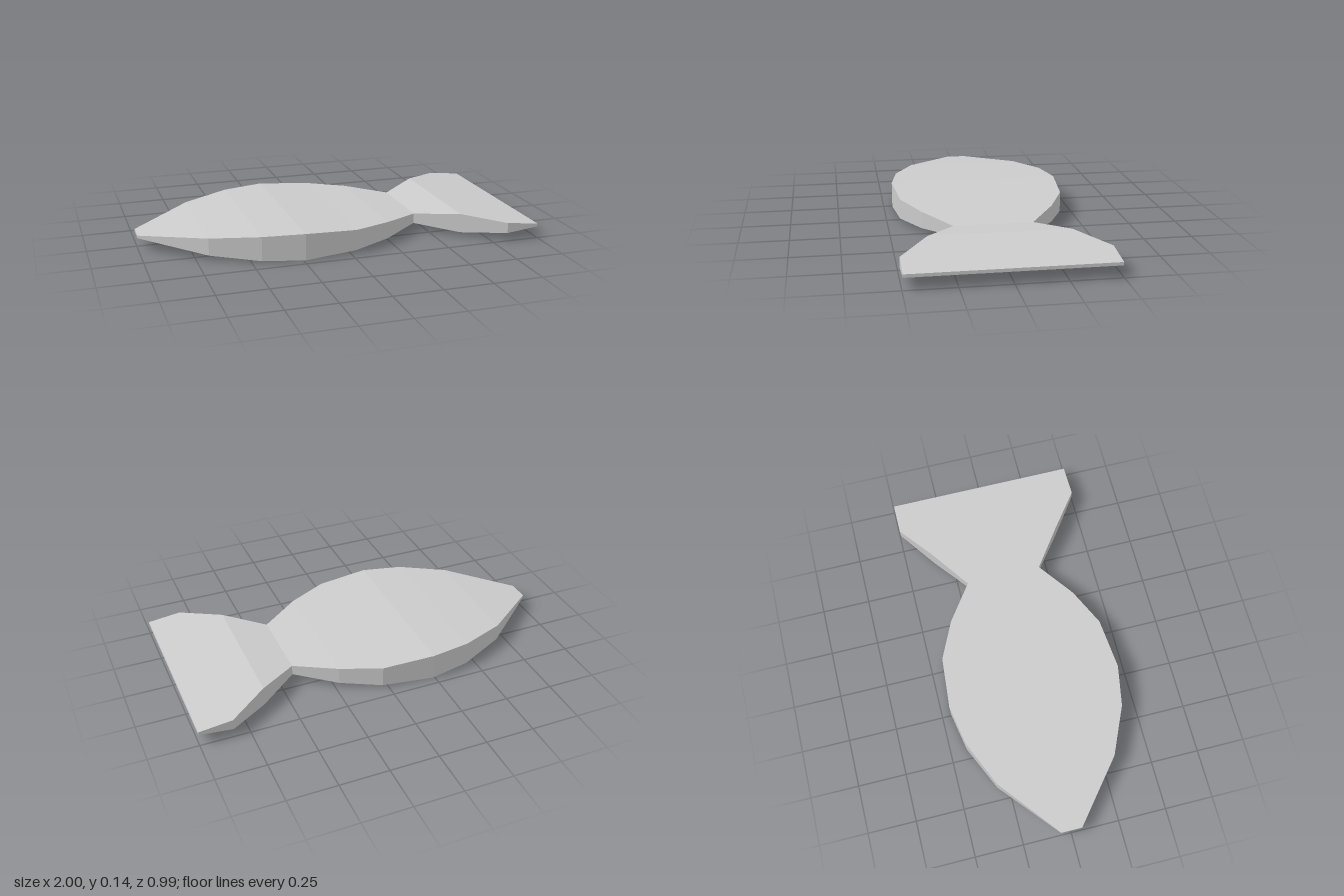
import * as THREE from 'three';

const MID_Y = 0.068;

// Stations along x: [x, half thickness (y), half width (z)]
const BODY = [
  [-1, 0.007, 0.054],
  [-0.69, 0.044, 0.308],
  [-0.45, 0.062, 0.415],
  [-0.24, 0.068, 0.453],
  [0.03, 0.053, 0.43],
  [0.23, 0.044, 0.338],
  [0.43, 0.026, 0.2],
];
const TAIL = [
  [0.43, 0.026, 0.2],
  [0.63, 0.05, 0.348],
  [0.83, 0.027, 0.495],
  [1, 0.008, 0.495],
];

// Four corners of a rectangular cross-section
const section = ([x, h, w]) =>
  [[h, w], [h, -w], [-h, -w], [-h, w]].map(([y, z]) => [x, MID_Y + y, z]);

// Lofts rectangular sections into a faceted solid, capping the chosen ends
function loft(stations, capStart, capEnd) {
  const rings = stations.map(section);
  const positions = [];
  const quad = (a, b, c, d) => positions.push(...a, ...b, ...c, ...a, ...c, ...d);
  for (let i = 0; i < rings.length - 1; i++) {
    for (let k = 0; k < 4; k++) {
      const n = (k + 1) % 4;
      quad(rings[i][k], rings[i + 1][k], rings[i + 1][n], rings[i][n]);
    }
  }
  if (capStart) quad(...rings[0]);
  if (capEnd) quad(...[...rings[rings.length - 1]].reverse());
  const geometry = new THREE.BufferGeometry();
  geometry.setAttribute('position', new THREE.Float32BufferAttribute(positions, 3));
  geometry.computeVertexNormals();
  return geometry;
}

export function createModel() {
  const group = new THREE.Group();
  group.name = 'fish';
  const material = new THREE.MeshStandardMaterial({ color: 0xcccccc, flatShading: true });

  // Body narrows to a blunt nose at -x
  const body = new THREE.Mesh(loft(BODY, true, false), material);
  body.name = 'body';

  // Tail fin flares out from the waist
  const tail = new THREE.Mesh(loft(TAIL, false, true), material);
  tail.name = 'tailFin';

  group.add(body, tail);
  return group;
}
